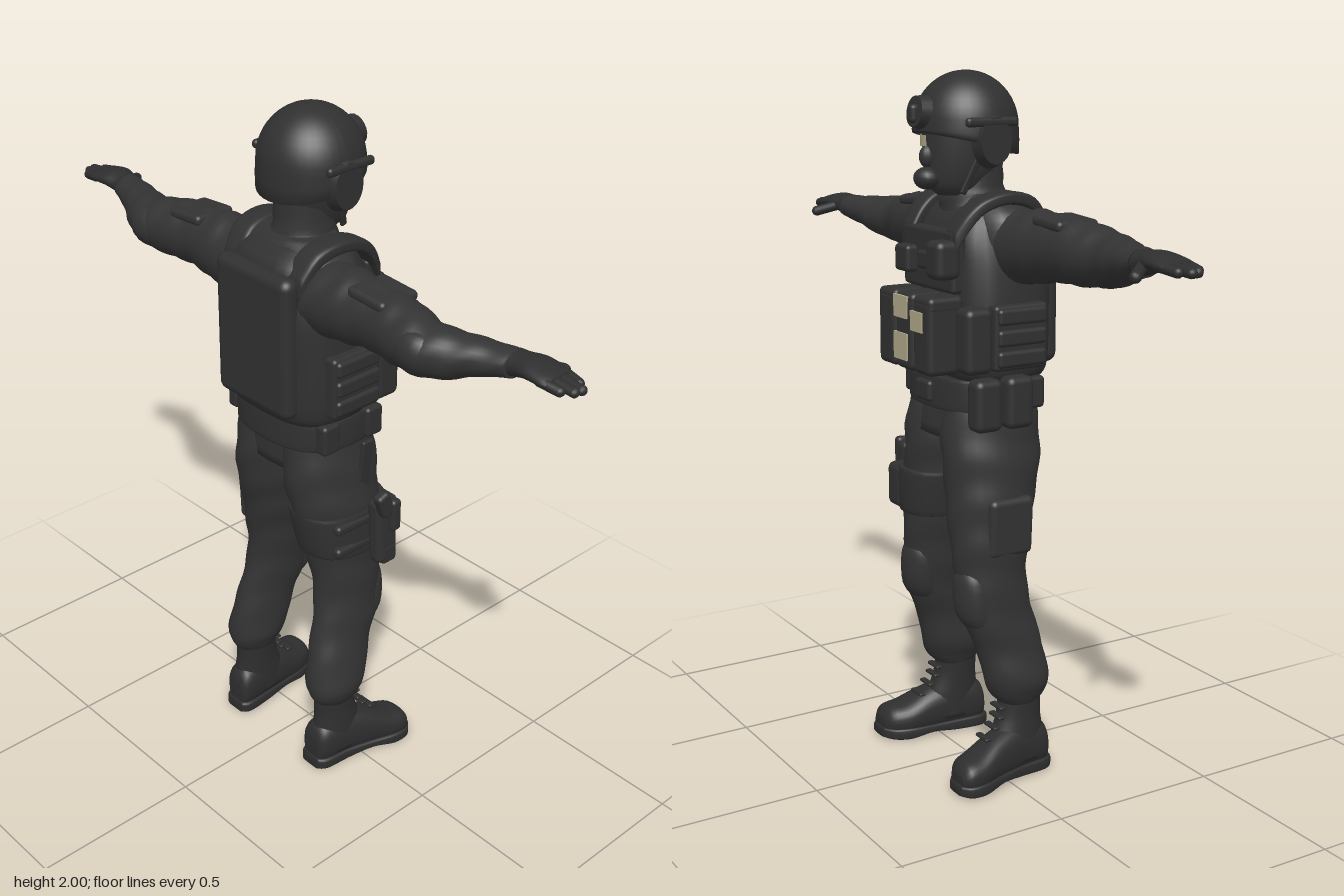
import * as THREE from 'three';
import { RoundedBoxGeometry } from 'three/addons/geometries/RoundedBoxGeometry.js';

const mat = (name, color) => new THREE.MeshStandardMaterial({ name, color });

export function createModel() {
  const cloth = mat('charcoal cloth', 0x333333);
  const gear = mat('black gear', 0x303030);
  const leather = mat('black leather', 0x2e2e2e);
  const tan = mat('tan', 0xaea688);
  gear.side = THREE.DoubleSide;
  const root = new THREE.Group();
  root.name = 'armouredOfficer';

  const add = (name, geo, m, x = 0, y = 0, z = 0) => {
    const mesh = new THREE.Mesh(geo, m);
    mesh.name = name;
    mesh.position.set(x, y, z);
    root.add(mesh);
    return mesh;
  };
  const box = (name, m, x, y, z, w, h, d, r = 0.012) =>
    add(name, new RoundedBoxGeometry(w, h, d, 3, Math.min(r, w / 2.1, h / 2.1, d / 2.1)), m, x, y, z);
  const both = (fn) => [1, -1].forEach(fn);

  // Smooth skin through cross-sections [t, centreU, centreV, radiusU, radiusV] along an axis.
  // Axis y uses (x, z), axis z uses (x, y), axis x uses (y, z).
  function loft(name, m, axis, secs, { pow = 2, fold = 0, freq = 60, steps = 4, n = 28 } = {}) {
    const at = (t) => {
      const i = Math.min(Math.floor(t), secs.length - 2), f = t - i;
      const P = (k) => secs[Math.max(0, Math.min(secs.length - 1, k))];
      return secs[0].map((_, c) => {
        const [a, b, d, e] = [P(i - 1)[c], P(i)[c], P(i + 1)[c], P(i + 2)[c]];
        return b + 0.5 * f * (d - a + f * (2 * a - 5 * b + 4 * d - e + f * (3 * (b - d) + e - a)));
      });
    };
    const place = (t, u, v) => axis === 'y' ? [u, t, v] : axis === 'z' ? [u, v, t] : [t, u, v];
    const pos = [], idx = [], rows = (secs.length - 1) * steps;
    for (let r = 0; r <= rows; r++) {
      const [t, cu, cv, ru, rv] = at(r / steps);
      for (let k = 0; k < n; k++) {
        const a = (k / n) * Math.PI * 2, c = Math.cos(a), s = Math.sin(a);
        const w = 1 + fold * Math.sin(t * freq + 1.5 * Math.sin(2 * a) + a);
        const u = Math.sign(c) * Math.abs(c) ** (2 / pow) * ru * w;
        const v = Math.sign(s) * Math.abs(s) ** (2 / pow) * rv * w;
        pos.push(...place(t, cu + u, cv + v));
      }
    }
    for (let r = 0; r < rows; r++) for (let k = 0; k < n; k++) {
      const a = r * n + k, b = r * n + (k + 1) % n;
      idx.push(a, a + n, b, b, a + n, b + n);
    }
    // End caps
    for (const r of [0, rows]) {
      const s = secs[r ? secs.length - 1 : 0], base = pos.length / 3;
      pos.push(...place(s[0], s[1], s[2]));
      for (let k = 0; k < n; k++) {
        const a = r * n + k, b = r * n + (k + 1) % n;
        r ? idx.push(base, b, a) : idx.push(base, a, b);
      }
    }
    // Turn faces outward whatever the section order
    const p = (i) => new THREE.Vector3().fromArray(pos, idx[i] * 3);
    let vol = 0;
    for (let i = 0; i < idx.length; i += 3) vol += p(i).dot(p(i + 1).cross(p(i + 2)));
    if (vol < 0) idx.reverse();
    const g = new THREE.BufferGeometry();
    g.setAttribute('position', new THREE.Float32BufferAttribute(pos, 3));
    g.setIndex(idx);
    g.computeVertexNormals();
    return add(name, g, m);
  }

  // Head, neck and mask
  loft('head', cloth, 'y', [[1.665, 0.03, 0, 0.06, 0.05], [1.69, 0.03, 0, 0.085, 0.07], [1.74, 0.015, 0, 0.11, 0.088],
    [1.81, 0.005, 0, 0.125, 0.098], [1.88, 0, 0, 0.125, 0.1], [1.93, 0, 0, 0.09, 0.08]]);
  loft('neck', cloth, 'y', [[1.58, -0.04, 0, 0.11, 0.12], [1.64, -0.025, 0, 0.1, 0.095], [1.69, -0.02, 0, 0.085, 0.08],
    [1.78, -0.02, 0, 0.085, 0.078]], { fold: 0.02, freq: 130 });
  const eyes = add('eyeStrip', new THREE.CylinderGeometry(1, 1, 0.03, 16, 1, true, 0.55, 1.12), tan, 0.006, 1.812, 0);
  eyes.scale.set(0.129, 1, 0.102);
  tan.side = THREE.DoubleSide;
  add('nose', new THREE.SphereGeometry(0.024, 16, 12), cloth, 0.125, 1.77, 0).scale.set(1, 1.3, 0.9);
  add('maskFilter', new THREE.SphereGeometry(0.036, 18, 14), gear, 0.128, 1.712, 0).scale.set(1, 0.85, 1.1);

  // Helmet: dome with a rim that drops toward the back
  const profile = [[0.13, -1], [0.146, -1], [0.147, -0.5]];
  for (let i = 0; i <= 12; i++) {
    const a = (i / 12) * Math.PI / 2;
    profile.push([0.145 * Math.cos(a), 0.148 * Math.sin(a)]);
  }
  const dome = new THREE.LatheGeometry(profile.map(([x, y]) => new THREE.Vector2(Math.max(x, 0), y)), 40);
  const dp = dome.attributes.position;
  for (let i = 0; i < dp.count; i++) if (dp.getY(i) < -0.1) dp.setY(i, dp.getY(i) * (0.048 - 0.23 * dp.getX(i)));
  dome.computeVertexNormals();
  add('helmet', dome, gear, 0.005, 1.85, 0);
  const mount = add('helmetMount', new THREE.CylinderGeometry(0.042, 0.048, 0.035, 20), gear, 0.148, 1.888, 0);
  mount.rotation.z = -Math.PI / 2 + 0.15;
  box('mountArm', gear, 0.165, 1.885, 0, 0.035, 0.05, 0.035);
  both((s) => {
    const cup = add('earCup', new THREE.CylinderGeometry(0.048, 0.058, 0.035, 24), gear, 0, 1.815, s * 0.135);
    cup.rotation.x = s * Math.PI / 2;
    cup.scale.z = 1.3;
    box('helmetRail', gear, 0.01, 1.865, s * 0.143, 0.16, 0.025, 0.022);
    const strap = box('chinStrap', gear, 0.035, 1.73, s * 0.085, 0.02, 0.13, 0.012);
    strap.rotation.set(s * 0.25, 0, 0.35);
  });

  // Torso, vest and belt
  loft('shirt', cloth, 'y', [[1.0, -0.015, 0, 0.14, 0.17], [1.15, -0.025, 0, 0.135, 0.18], [1.3, -0.04, 0, 0.13, 0.19],
    [1.48, -0.05, 0, 0.13, 0.2], [1.58, -0.055, 0, 0.12, 0.21], [1.63, -0.05, 0, 0.1, 0.18], [1.67, -0.04, 0, 0.08, 0.1]], { pow: 2.4 });
  loft('vest', gear, 'y', [[1.17, -0.04, 0, 0.14, 0.19], [1.21, -0.04, 0, 0.155, 0.205], [1.35, -0.04, 0, 0.157, 0.207],
    [1.48, -0.045, 0, 0.158, 0.195], [1.56, -0.045, 0, 0.15, 0.175], [1.62, -0.05, 0, 0.125, 0.15], [1.655, -0.05, 0, 0.08, 0.11]], { pow: 3 });
  box('backPanel', gear, -0.185, 1.4, 0, 0.06, 0.41, 0.29, 0.028);
  box('chestPanel', gear, 0.105, 1.495, 0, 0.045, 0.17, 0.27);
  loft('belt', gear, 'y', [[1.085, -0.02, 0, 0.15, 0.19], [1.09, -0.02, 0, 0.158, 0.198], [1.165, -0.02, 0, 0.156, 0.196],
    [1.17, -0.02, 0, 0.15, 0.19]], { pow: 2.5 });
  box('buckle', gear, 0.137, 1.128, 0, 0.025, 0.06, 0.08);
  both((s) => {
    loft('shoulderStrap', gear, 'x', [[-0.17, 1.57, s * 0.12, 0.03, 0.035], [-0.12, 1.64, s * 0.13, 0.022, 0.038],
      [-0.04, 1.663, s * 0.135, 0.018, 0.04], [0.04, 1.645, s * 0.132, 0.02, 0.04], [0.09, 1.6, s * 0.125, 0.028, 0.036],
      [0.125, 1.54, s * 0.115, 0.035, 0.03]], { pow: 4 });
    // Side armour with horizontal ribs
    box('sidePanel', gear, -0.035, 1.295, s * 0.205, 0.17, 0.18, 0.05);
    for (let i = 0; i < 3; i++) box('sideRib', gear, -0.035, 1.238 + i * 0.058, s * 0.228, 0.155, 0.046, 0.024);
    box('sidePouch', gear, 0.09, 1.29, s * 0.185, 0.085, 0.18, 0.075, 0.02);
    for (const x of [-0.1, 0.06]) box('beltPouch', gear, x, 1.13, s * 0.185, 0.06, 0.09, 0.04);
  });
  // Front magazine pouches, flaps and patches
  for (const z of [0.094, -0.003, -0.1]) {
    box('magazinePouch', gear, 0.155, 1.295, z, 0.106, 0.205, 0.094, 0.018);
    box('pouchFlap', gear, 0.152, 1.385, z, 0.108, 0.045, 0.096, 0.015);
  }
  for (const [y, z, h, d] of [[1.368, 0.005, 0.062, 0.072], [1.338, -0.083, 0.055, 0.062], [1.258, 0.005, 0.075, 0.072]])
    add('tanPatch', new THREE.BoxGeometry(0.008, h, d), tan, 0.209, y, z);
  box('chestPouch', gear, 0.135, 1.487, 0.095, 0.05, 0.075, 0.075);
  box('radioPouch', gear, 0.14, 1.503, -0.105, 0.075, 0.105, 0.08, 0.02);
  box('chestTab', gear, 0.13, 1.49, 0.0, 0.02, 0.05, 0.08);
  for (const x of [-0.03, 0.07]) box('hipPouch', gear, x, 1.115, -0.21, 0.085, 0.145, 0.065, 0.02);

  both((s) => {
    // Sleeve, shoulder pad and cuff
    loft('sleeve', cloth, 'z', [[0.14, -0.07, 1.53, 0.1, 0.1], [0.25, -0.075, 1.54, 0.092, 0.1], [0.35, -0.078, 1.545, 0.08, 0.088],
      [0.45, -0.088, 1.543, 0.082, 0.085], [0.54, -0.1, 1.537, 0.076, 0.072], [0.61, -0.083, 1.54, 0.07, 0.063],
      [0.69, -0.055, 1.552, 0.056, 0.046], [0.77, -0.035, 1.56, 0.046, 0.035]].map(([z, ...r]) => [s * z, ...r]),
      { fold: 0.025, freq: 75, steps: 8 });
    box('sleevePocket', cloth, -0.08, 1.615, s * 0.36, 0.13, 0.03, 0.13, 0.013).rotation.x = s * 0.07;
    loft('elbowPad', cloth, 'z', [[0.47, -0.13, 1.54, 0.02, 0.03], [0.5, -0.135, 1.54, 0.042, 0.055],
      [0.56, -0.135, 1.54, 0.042, 0.052], [0.6, -0.12, 1.54, 0.02, 0.03]].map(([z, ...r]) => [s * z, ...r]));
    // Glove
    loft('palm', leather, 'z', [[0.755, -0.033, 1.561, 0.044, 0.034], [0.785, -0.032, 1.565, 0.043, 0.031], [0.825, -0.032, 1.572, 0.052, 0.026],
      [0.875, -0.033, 1.569, 0.054, 0.02], [0.9, -0.033, 1.566, 0.05, 0.014]].map(([z, ...r]) => [s * z, ...r]));
    const finger = (name, a, b, r) => {
      const A = new THREE.Vector3(...a), B = new THREE.Vector3(...b), d = B.clone().sub(A);
      const f = add(name, new THREE.CapsuleGeometry(r, d.length(), 5, 10), leather);
      f.position.copy(A).add(B).multiplyScalar(0.5);
      f.quaternion.setFromUnitVectors(new THREE.Vector3(0, 1, 0), d.normalize());
    };
    [0.93, 0.955, 0.95, 0.925].forEach((z, i) =>
      finger('finger', [0.008 - i * 0.027, 1.568, s * 0.87], [-0.002 - i * 0.021, 1.56, s * z], 0.0135));
    finger('thumb', [0.0, 1.562, s * 0.8], [0.052, 1.543, s * 0.842], 0.0155);

    // Trouser leg
    loft('trouserLeg', cloth, 'y', [[1.12, -0.02, 0.09, 0.135, 0.095], [1.0, -0.015, 0.1, 0.15, 0.105], [0.9, -0.012, 0.112, 0.143, 0.108],
      [0.8, 0, 0.123, 0.13, 0.102], [0.7, 0.008, 0.136, 0.118, 0.09], [0.6, 0.01, 0.146, 0.108, 0.08], [0.5, 0, 0.157, 0.112, 0.072],
      [0.4, -0.035, 0.168, 0.104, 0.069], [0.3, -0.056, 0.178, 0.1, 0.076], [0.255, -0.062, 0.181, 0.088, 0.064],
      [0.225, -0.065, 0.18, 0.064, 0.05]].map(([y, x, z, ...r]) => [y, x, s * z, ...r]), { fold: 0.018, freq: 50, steps: 6 });
    loft('kneePad', cloth, 'y', [[0.65, 0.08, 0.145, 0.025, 0.03], [0.6, 0.078, 0.148, 0.047, 0.06], [0.5, 0.068, 0.155, 0.052, 0.06],
      [0.44, 0.04, 0.163, 0.03, 0.035]].map(([y, x, z, ...r]) => [y, x, s * z, ...r]));

    // Boot
    loft('bootShaft', leather, 'y', [[0.26, -0.065, 0.179, 0.063, 0.046], [0.235, -0.066, 0.179, 0.066, 0.05], [0.18, -0.062, 0.181, 0.07, 0.05],
      [0.12, -0.055, 0.184, 0.085, 0.053], [0.05, -0.05, 0.186, 0.095, 0.054]].map(([y, x, z, ...r]) => [y, x, s * z, ...r]));
    loft('bootFoot', leather, 'x', [[-0.152, 0.065, 0.178, 0.04, 0.03], [-0.13, 0.08, 0.18, 0.068, 0.05], [-0.05, 0.085, 0.187, 0.075, 0.055],
      [0.03, 0.075, 0.2, 0.066, 0.06], [0.1, 0.058, 0.215, 0.049, 0.066], [0.15, 0.052, 0.226, 0.042, 0.056],
      [0.172, 0.045, 0.23, 0.02, 0.03]].map(([x, y, z, ...r]) => [x, y, s * z, ...r]), { pow: 2.4 });
    loft('bootSole', leather, 'x', [[-0.157, 0.02, 0.178, 0.018, 0.035], [-0.13, 0.02, 0.18, 0.02, 0.052], [-0.05, 0.021, 0.187, 0.019, 0.054],
      [0.03, 0.024, 0.201, 0.014, 0.061], [0.1, 0.02, 0.216, 0.02, 0.07], [0.15, 0.02, 0.226, 0.019, 0.06],
      [0.177, 0.022, 0.23, 0.015, 0.032]].map(([x, y, z, ...r]) => [x, y, s * z, ...r]), { pow: 5 });
    for (let i = 0; i < 4; i++) box('bootLace', leather, 0.006 + i * i * 0.006, 0.215 - i * 0.027, s * (0.181 + i * 0.003), 0.02, 0.01, 0.06);
  });

  // Thigh rig on the right leg
  loft('thighPanel', gear, 'y', [[0.87, -0.003, 0.117, 0.137, 0.108], [0.86, -0.002, 0.118, 0.146, 0.114], [0.75, 0.004, 0.129, 0.134, 0.106],
    [0.735, 0.005, 0.13, 0.124, 0.098]], { pow: 2.3 });
  for (const y of [0.845, 0.77]) box('thighStrap', gear, -0.04, y, 0.222, 0.13, 0.03, 0.03);
  box('thighPouch', gear, 0.105, 0.805, 0.19, 0.07, 0.13, 0.08, 0.02);
  box('holster', gear, 0.04, 0.815, 0.262, 0.075, 0.2, 0.05, 0.018).rotation.x = -0.06;
  box('holsterTip', gear, 0.045, 0.74, 0.272, 0.055, 0.06, 0.04);
  box('pistolGrip', gear, 0.02, 0.915, 0.285, 0.045, 0.08, 0.035).rotation.z = 0.35;
  box('pistolSlide', gear, 0.055, 0.87, 0.292, 0.035, 0.1, 0.03);
  box('hangerStrap', gear, 0.02, 0.98, 0.205, 0.04, 0.22, 0.014, 0.005).rotation.x = 0.1;
  // Cargo pocket on the left leg
  box('cargoPocket', cloth, -0.01, 0.76, -0.212, 0.14, 0.17, 0.04, 0.018).rotation.x = -0.05;
  return root;
}
